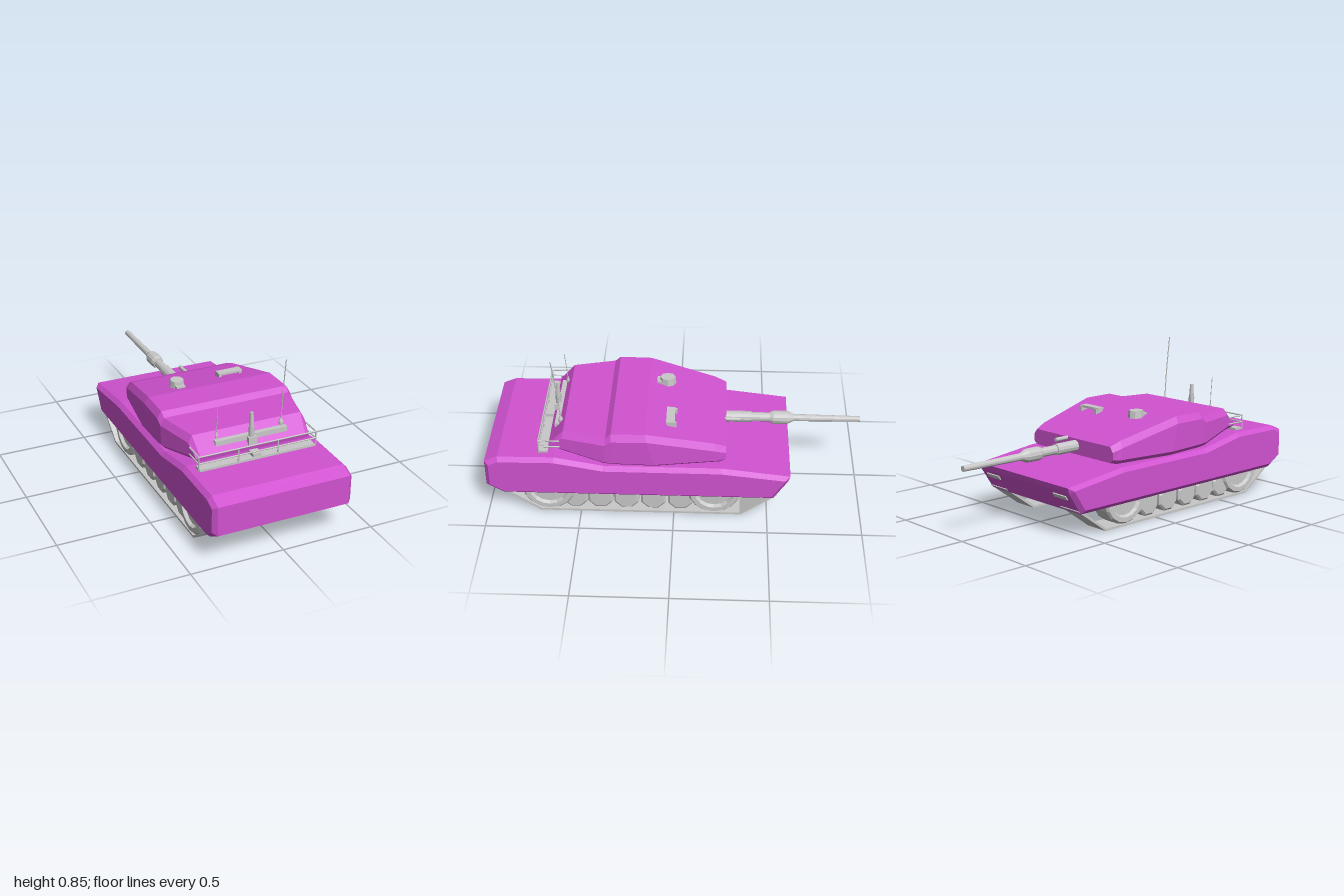
import * as THREE from 'three';

export function createModel() {
  const root = new THREE.Group();
  const paint = new THREE.MeshStandardMaterial({ color: 0xd052d0 });
  paint.name = 'magentaPaint';
  const metal = new THREE.MeshStandardMaterial({ color: 0xc8c8c8 });
  metal.name = 'greyMetal';

  const add = (name, geo, mat = metal, x = 0, y = 0, z = 0, parent = root) => {
    const m = new THREE.Mesh(geo, mat);
    m.name = name;
    m.position.set(x, y, z);
    parent.add(m);
    return m;
  };
  const flat = (g) => {
    const n = g.index ? g.toNonIndexed() : g;
    n.computeVertexNormals();
    return n;
  };
  const box = (name, w, h, d, x, y, z) => add(name, new THREE.BoxGeometry(w, h, d), metal, x, y, z);

  // Side profile of [z, y] points, extruded across x and centred, with chamfered rims
  const slab = (pts, width, bevel = 0) => {
    const shape = new THREE.Shape(pts.map(([z, y]) => new THREE.Vector2(z, y)));
    const depth = width - 2 * bevel;
    const g = new THREE.ExtrudeGeometry(shape, {
      depth, bevelEnabled: bevel > 0, bevelSegments: 1,
      bevelThickness: bevel, bevelSize: bevel, bevelOffset: -bevel,
    });
    return g.translate(0, 0, -depth / 2).rotateY(-Math.PI / 2);
  };

  // Round rod between two points
  const rod = (name, a, b, r, r2 = r, sides = 8) => {
    const from = new THREE.Vector3(...a), to = new THREE.Vector3(...b);
    const dir = to.clone().sub(from);
    const m = add(name, new THREE.CylinderGeometry(r2, r, dir.length(), sides), metal);
    m.position.copy(from).add(to).multiplyScalar(0.5);
    m.quaternion.setFromUnitVectors(new THREE.Vector3(0, 1, 0), dir.normalize());
    return m;
  };

  // Loft of chamfered sections: [zTop, yTop, zBottom, yBottom, halfWidth]
  const loft = (stations, cx, cyMax) => {
    const pos = [], idx = [], n = 8;
    for (const [zt, yt, zb, yb, w] of stations) {
      const c = Math.min(cyMax, (yt - yb) / 3), cb = c * 0.6;
      const ring = [[w, yb + cb], [w, yt - c], [w - cx, yt], [cx - w, yt],
        [-w, yt - c], [-w, yb + cb], [cx - w, yb], [w - cx, yb]];
      for (const [x, y] of ring) pos.push(x, y, zb + (zt - zb) * (y - yb) / (yt - yb));
    }
    const last = (stations.length - 1) * n;
    for (let i = 0; i < last; i += n) {
      for (let k = 0; k < n; k++) {
        const a = i + k, b = i + (k + 1) % n;
        idx.push(a, b, a + n, b, b + n, a + n);
      }
    }
    for (let k = 1; k < n - 1; k++) idx.push(0, k + 1, k, last, last + k, last + k + 1);
    const g = new THREE.BufferGeometry();
    g.setAttribute('position', new THREE.Float32BufferAttribute(pos, 3));
    g.setIndex(idx);
    return flat(g);
  };

  // Hull with skirts, and the belly between the tracks
  add('hull', slab([
    [0.91, 0.122], [1.0, 0.175], [1.0, 0.332], [0.93, 0.362], [0.63, 0.365],
    [0.37, 0.316], [-0.25, 0.316], [-0.615, 0.272], [-0.605, 0.24], [-0.53, 0.122],
  ].reverse(), 0.76, 0.022), paint);
  add('belly', slab([
    [-0.52, 0.13], [-0.40, 0.063], [0.76, 0.063], [0.88, 0.13],
  ], 0.414));

  // Turret
  add('turret', loft([
    [-0.272, 0.415, -0.272, 0.33, 0.315],
    [-0.21, 0.44, -0.24, 0.322, 0.327],
    [0.15, 0.525, 0.10, 0.322, 0.376],
    [0.325, 0.525, 0.32, 0.33, 0.38],
    [0.355, 0.50, 0.37, 0.335, 0.378],
    [0.58, 0.50, 0.60, 0.378, 0.325],
    [0.66, 0.415, 0.655, 0.39, 0.315],
  ], 0.022, 0.036), paint);
  add('turretRing', new THREE.CylinderGeometry(0.27, 0.27, 0.03, 32), paint, 0, 0.32, 0.1);

  // Running gear, mirrored on both sides
  const lathe = (pts, sides) => flat(new THREE.LatheGeometry(
    pts.map(([r, h]) => new THREE.Vector2(r, h)), sides)).rotateX(Math.PI / 2).rotateY(Math.PI / 2);
  const bigWheel = lathe([[0, -0.055], [0.125, -0.055], [0.14, -0.045], [0.14, 0.05],
    [0.13, 0.062], [0.105, 0.062], [0.095, 0.045], [0, 0.045]], 16);
  const roadWheel = lathe([[0, -0.055], [0.06, -0.055], [0.072, -0.045], [0.072, 0.045],
    [0.06, 0.055], [0, 0.055]], 8).rotateX(Math.PI / 8);
  const belt = slab([
    [-0.55, 0.14], [-0.36, 0], [0.72, 0], [0.92, 0.14],
    [0.90, 0.14], [0.715, 0.012], [-0.355, 0.012], [-0.53, 0.14],
  ], 0.136);
  for (const s of [1, -1]) {
    const side = new THREE.Group();
    side.name = s > 0 ? 'leftTrack' : 'rightTrack';
    side.position.x = s * 0.29;
    if (s < 0) side.rotation.y = Math.PI;
    root.add(side);
    add('trackBelt', belt, metal, 0, 0, 0, side).rotation.y = s < 0 ? Math.PI : 0;
    for (const z of [0.67, -0.215]) add('endWheel', bigWheel, metal, 0.006, 0.148, s * z, side);
    for (const z of [0.53, 0.395, 0.255, 0.11, -0.035]) {
      add('roadWheel', roadWheel, metal, 0, 0.082, s * z, side);
    }
  }

  // Main gun, profile as [radius, distance toward the muzzle]
  const gun = new THREE.LatheGeometry([
    [0, 0.25], [0.031, 0.25], [0.031, 0.41], [0.025, 0.41], [0.025, 0.51], [0.03, 0.51],
    [0.037, 0.53], [0.037, 0.605], [0.02, 0.64], [0.0155, 1], [0, 1],
  ].map(([r, h]) => new THREE.Vector2(r, h)), 12);
  add('mainGun', flat(gun).rotateX(-Math.PI / 2), metal, -0.023, 0.376, 0);
  rod('coaxialGun', [0.045, 0.408, -0.25], [0.045, 0.408, -0.35], 0.011);

  // Roof sight and periscope bar
  const sight = add('roofSight', flat(new THREE.CylinderGeometry(0.036, 0.04, 0.04, 8)), metal, -0.15, 0.522, 0.05);
  sight.scale.z = 1.15;
  box('sightHood', 0.05, 0.02, 0.03, -0.15, 0.515, 0.093);
  box('periscopeBar', 0.14, 0.012, 0.045, 0.17, 0.515, 0.022);
  for (const x of [0.11, 0.23]) box('periscopeLeg', 0.014, 0.04, 0.05, x, 0.497, 0.015);

  // Rear crossbar, sensor mast and whip antennas
  box('crossbar', 0.40, 0.027, 0.03, 0, 0.454, 0.622);
  box('mastBase', 0.047, 0.04, 0.04, -0.004, 0.44, 0.64);
  rod('mastLower', [-0.003, 0.455, 0.638], [-0.003, 0.515, 0.638], 0.016);
  rod('mastUpper', [-0.003, 0.515, 0.638], [-0.003, 0.59, 0.638], 0.014, 0.009);
  for (const [x, top, lean] of [[0.18, 0.845, 0.64], [-0.18, 0.657, 0.618]]) {
    const k = x > 0 ? 1 : 0.7;
    rod('antennaBase', [x, 0.465, 0.605], [x, 0.485, 0.605], 0.013 * k);
    rod('antennaCollar', [x, 0.485, 0.605], [x, 0.505, 0.605], 0.013 * k, 0.004);
    const path = new THREE.CatmullRomCurve3([
      new THREE.Vector3(x, 0.49, 0.605),
      new THREE.Vector3(x, 0.49 + (top - 0.49) * 0.5, 0.605 + (lean - 0.605) * 0.4),
      new THREE.Vector3(x, top, lean),
    ]);
    add('antenna', new THREE.TubeGeometry(path, 8, 0.003 * k, 6));
  }

  // Stowage rack behind the turret
  box('rackFloor', 0.64, 0.012, 0.05, 0, 0.371, 0.69);
  box('rackBracket', 0.047, 0.03, 0.05, -0.004, 0.38, 0.685);
  for (const y of [0.41, 0.447]) {
    rod('rackRail', [-0.328, y, 0.712], [0.328, y, 0.712], 0.004);
    for (const x of [-0.325, 0.325]) rod('rackSideRail', [x, y, 0.712], [x, y, 0.6], 0.004);
  }
  for (const x of [-0.325, -0.11, 0.11, 0.325]) {
    rod('rackPost', [x, 0.368, 0.712], [x, 0.447, 0.712], 0.004);
  }

  // Headlight plates on the sloping nose
  for (const x of [-0.27, 0.27]) {
    const lamp = box('headlight', 0.1, 0.025, 0.009, x, 0.21, -0.588);
    lamp.rotation.x = -Math.atan2(0.075, 0.118);
  }

  return root;
}
